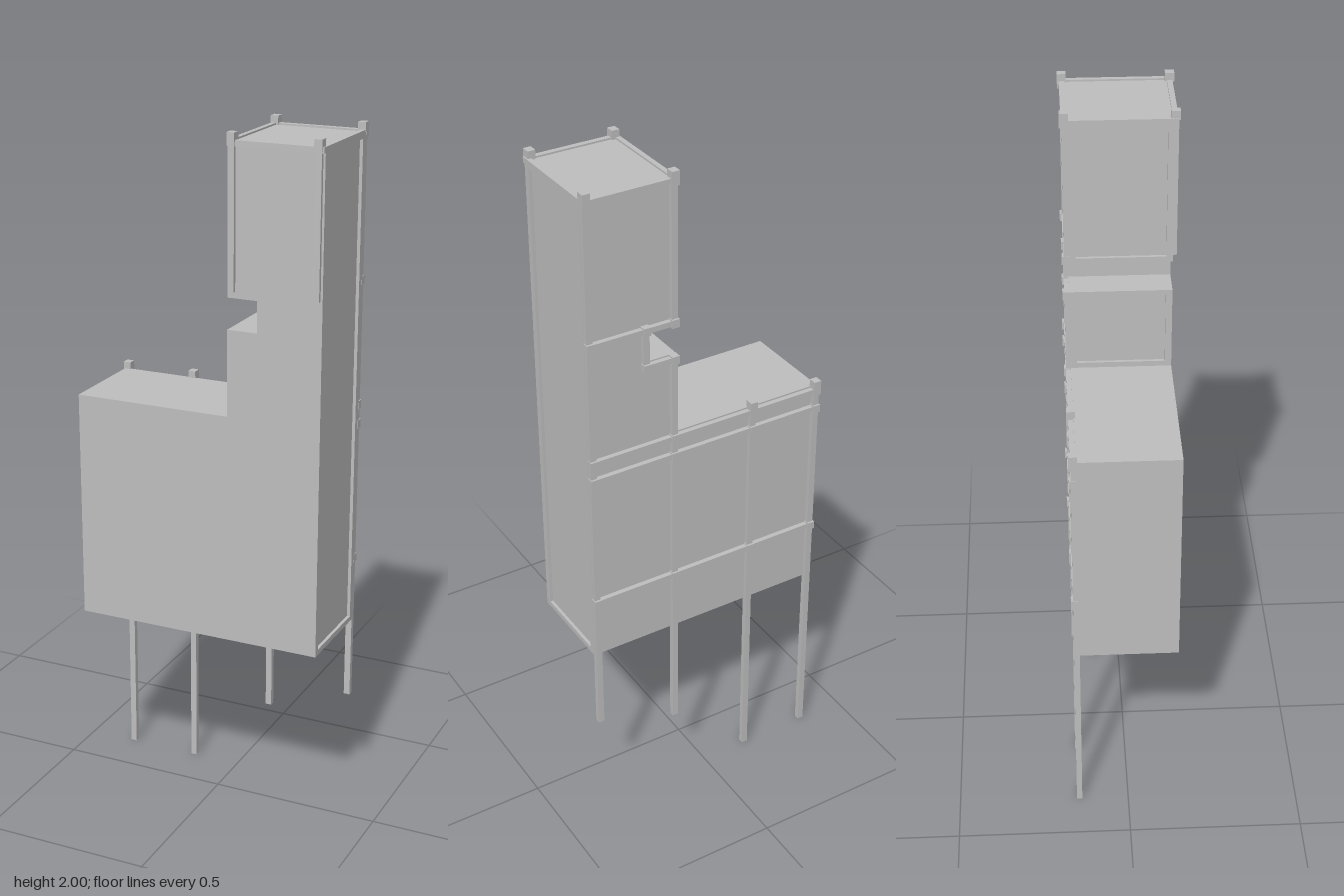
import * as THREE from 'three';

export function createModel() {
  const model = new THREE.Group();
  const grey = new THREE.MeshStandardMaterial({ color: 0xbfbfbf });
  grey.name = 'scaffold grey';

  // Box given by its extents on each axis
  function box(name, [x0, x1], [y0, y1], [z0, z1], parent = model) {
    const mesh = new THREE.Mesh(new THREE.BoxGeometry(x1 - x0, y1 - y0, z1 - z0), grey);
    mesh.position.set((x0 + x1) / 2, (y0 + y1) / 2, (z0 + z1) / 2);
    mesh.name = name;
    parent.add(mesh);
  }

  // L-shaped tower body with a notch in its inner edge
  const outline = [
    [-0.365, 0.565], [0.356, 0.565], [0.356, 1.975], [0.103, 1.975], [0.103, 1.562],
    [0.18, 1.562], [0.18, 1.474], [0.103, 1.474], [0.103, 1.23], [-0.365, 1.23],
  ];
  const shape = new THREE.Shape(outline.map(([x, y]) => new THREE.Vector2(x, y)));
  const bodyGeometry = new THREE.ExtrudeGeometry(shape, { depth: 0.282, bevelEnabled: false });
  bodyGeometry.translate(0, 0, -0.14);
  const body = new THREE.Mesh(bodyGeometry, grey);
  body.name = 'body';
  model.add(body);

  // Raised rim around a side face, leaving a sunken panel
  function sideFrame(name, xs, y0, y1, rim) {
    const frame = new THREE.Group();
    frame.name = name;
    box('frontStile', xs, [y0, y1], [0.142 - rim, 0.142], frame);
    box('backStile', xs, [y0, y1], [-0.14, -0.14 + rim], frame);
    box('bottomRail', xs, [y0, y0 + 0.016], [-0.14 + rim, 0.142 - rim], frame);
    box('topRail', xs, [y1 - 0.016, y1], [-0.14 + rim, 0.142 - rim], frame);
    model.add(frame);
  }
  sideFrame('outerSideFrame', [0.356, 0.365], 0.565, 1.975, 0.02);
  sideFrame('upperInnerFrame', [0.094, 0.103], 1.562, 1.975, 0.018);
  sideFrame('lowerInnerFrame', [0.094, 0.103], 1.23, 1.474, 0.018);

  // Rear posts, split at the notch: x, bottom, top
  const backZ = [-0.153, -0.137];
  const posts = [
    [-0.358, 0, 1.245], [-0.147, 0, 1.245], [0.104, 0.23, 1.474],
    [0.104, 1.562, 2], [0.355, 0.32, 2], [0.189, 1.455, 1.58],
  ];
  for (const [x, y0, y1] of posts) box('rearPost', [x - 0.009, x + 0.009], [y0, y1], backZ);

  // Front posts on the upper tower
  for (const x of [0.108, 0.35]) {
    box('frontPost', [x - 0.009, x + 0.009], [1.58, 2], [0.135, 0.152]);
    box('frontPostCap', [x - 0.011, x + 0.011], [1.975, 2], [0.131, 0.156]);
  }

  // Rear rails with clips where they cross the posts: y, x range, clip positions
  const rails = [
    [0.755, -0.365, 0.365, [-0.358, -0.147, 0.104, 0.355]],
    [1.16, -0.365, 0.365, [-0.358, -0.147, 0.104, 0.355]],
    [1.217, -0.365, 0.365, [-0.358, -0.147, 0.104, 0.355]],
    [1.462, 0.095, 0.198, [0.104, 0.189]],
    [1.572, 0.095, 0.365, [0.104, 0.189, 0.355]],
    [1.972, 0.095, 0.365, [0.104, 0.355]],
  ];
  for (const [y, x0, x1, clips] of rails) {
    box('rearRail', [x0, x1], [y - 0.008, y + 0.008], [-0.154, -0.138]);
    for (const x of clips) box('clip', [x - 0.011, x + 0.011], [y - 0.012, y + 0.012], [-0.159, -0.139]);
  }

  // Caps on the rear posts
  for (const [x, y] of [[-0.358, 1.25], [-0.147, 1.25], [0.104, 2], [0.355, 2]]) {
    box('rearPostCap', [x - 0.011, x + 0.011], [y - 0.025, y], [-0.159, -0.135]);
  }

  // Top rails around the tower head
  box('frontTopRail', [0.095, 0.365], [1.964, 1.98], [0.136, 0.151]);
  for (const x of [0.101, 0.358]) box('sideTopRail', [x - 0.007, x + 0.007], [1.964, 1.98], [-0.15, 0.15]);

  return model;
}
